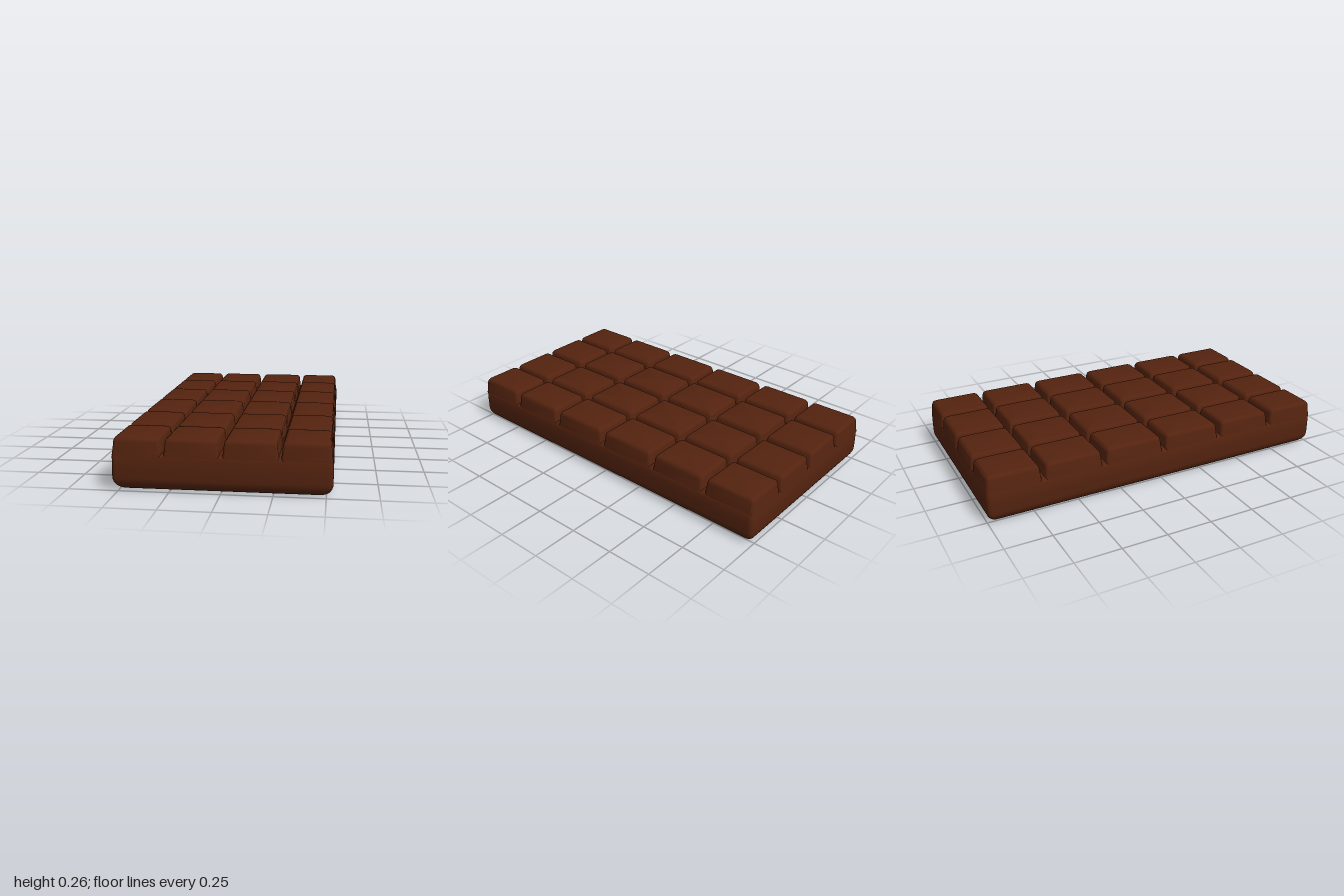
import * as THREE from 'three';
import { toCreasedNormals } from 'three/addons/utils/BufferGeometryUtils.js';

// Stacks rounded-rectangle rings; profile is a list of [y, inset] from bottom to top.
function loftRoundedRect(halfX, halfZ, radius, profile, cornerSteps = 5) {
  const points = [];
  const perRing = 4 * (cornerSteps + 1);
  const signs = [[1, 1], [-1, 1], [-1, -1], [1, -1]];
  for (const [y, inset] of profile) {
    signs.forEach(([sx, sz], corner) => {
      for (let k = 0; k <= cornerSteps; k++) {
        const a = (corner + k / cornerSteps) * Math.PI / 2;
        points.push(
          sx * (halfX - inset - radius) + radius * Math.cos(a), y,
          sz * (halfZ - inset - radius) + radius * Math.sin(a));
      }
    });
  }
  const last = profile.length - 1;
  const bottom = points.length / 3, top = bottom + 1;
  points.push(0, profile[0][0], 0, 0, profile[last][0], 0);

  const index = [];
  for (let j = 0; j < perRing; j++) {
    const n = (j + 1) % perRing;
    for (let i = 0; i < last; i++) {
      const lo = i * perRing, hi = lo + perRing;
      index.push(lo + j, hi + j, lo + n, hi + j, hi + n, lo + n);
    }
    index.push(bottom, j, n, top, last * perRing + n, last * perRing + j);
  }
  const geometry = new THREE.BufferGeometry();
  geometry.setAttribute('position', new THREE.Float32BufferAttribute(points, 3));
  geometry.setIndex(index);
  return toCreasedNormals(geometry, 0.7);
}

export function createModel() {
  const model = new THREE.Group();
  model.name = 'chocolateBar';
  const chocolate = new THREE.MeshStandardMaterial({ color: 0x54230f });
  chocolate.name = 'dark chocolate brown';

  // Slab with a broadly rounded underside and a small upper edge
  const slabProfile = [];
  for (let i = 0; i <= 8; i++) {
    const a = i / 8 * Math.PI / 2;
    slabProfile.push([0.065 * (1 - Math.cos(a)), 0.06 * (1 - Math.sin(a))]);
  }
  slabProfile.push([0.12, 0], [0.168, 0.001], [0.176, 0.004], [0.182, 0.009], [0.187, 0.018]);
  const slab = new THREE.Mesh(loftRoundedRect(0.532, 1, 0.025, slabProfile), chocolate);
  slab.name = 'slab';
  model.add(slab);

  // Four by six squares with tapered sides and softened top edges
  const columns = [[-0.526, -0.288], [-0.274, -0.01], [0.01, 0.274], [0.288, 0.526]];
  const rows = [[-0.996, -0.708], [-0.686, -0.369], [-0.344, -0.012],
    [0.012, 0.344], [0.369, 0.686], [0.708, 0.996]];
  const squareProfile = [[0.172, -0.003], [0.19, -0.001], [0.2, 0.001], [0.242, 0.005],
    [0.253, 0.008], [0.26, 0.013], [0.264, 0.019], [0.265, 0.026]];
  const squares = new THREE.Group();
  squares.name = 'squares';
  for (const [x0, x1] of columns) {
    for (const [z0, z1] of rows) {
      const square = new THREE.Mesh(
        loftRoundedRect((x1 - x0) / 2, (z1 - z0) / 2, 0.016, squareProfile), chocolate);
      square.name = 'square';
      square.position.set((x0 + x1) / 2, 0, (z0 + z1) / 2);
      squares.add(square);
    }
  }
  model.add(squares);
  return model;
}
